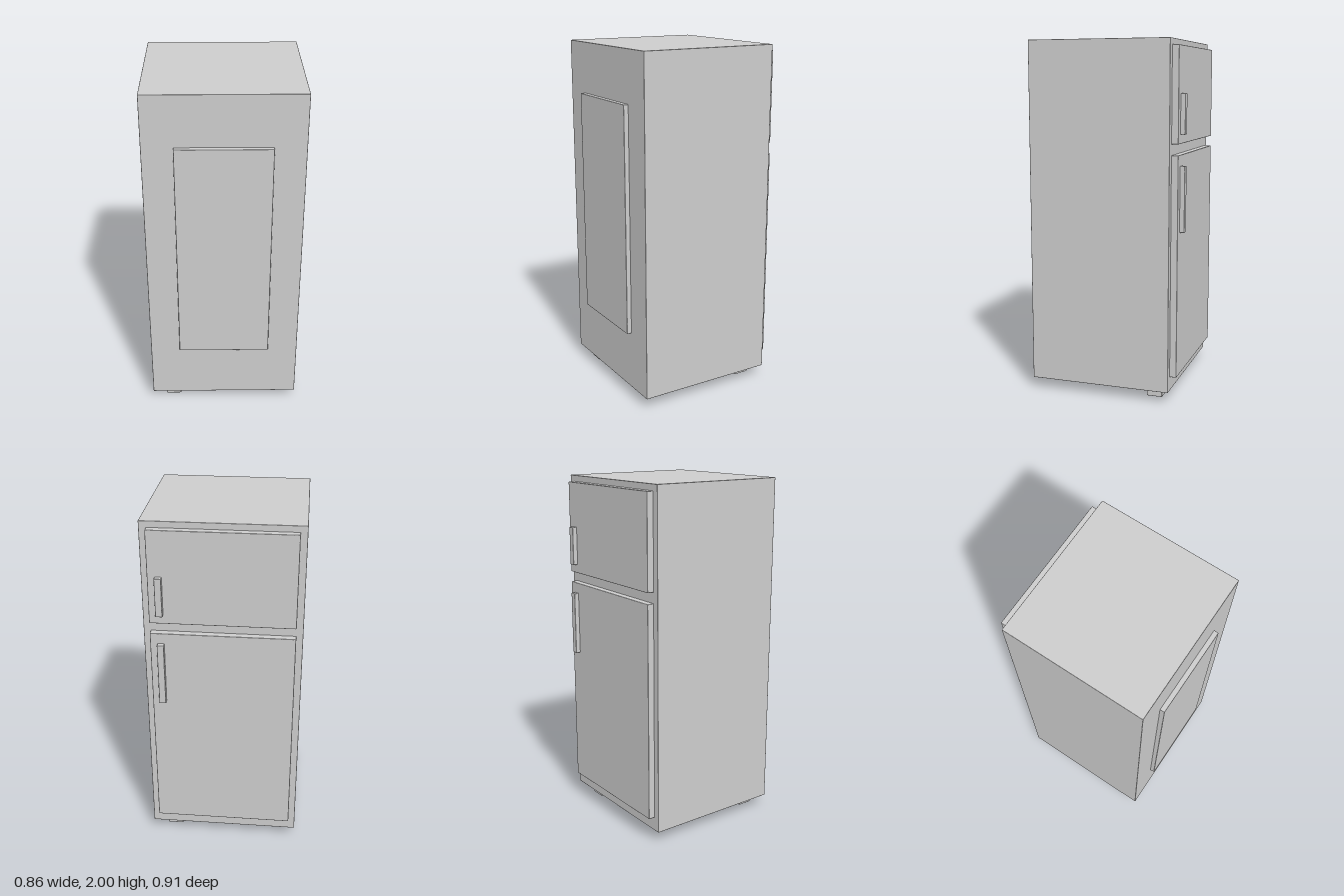
import * as THREE from 'three';
import { RoundedBoxGeometry } from 'three/addons/geometries/RoundedBoxGeometry.js';

const enamel = new THREE.MeshStandardMaterial({ color: 0xcccccc });
enamel.name = 'light grey enamel';

// Box with softened edges, given by its [min, max] extents on each axis
function block(name, [x0, x1], [y0, y1], [z0, z1], radius = 0.004) {
  const geometry = new RoundedBoxGeometry(x1 - x0, y1 - y0, z1 - z0, 1, radius);
  const mesh = new THREE.Mesh(geometry, enamel);
  mesh.name = name;
  mesh.position.set((x0 + x1) / 2, (y0 + y1) / 2, (z0 + z1) / 2);
  return mesh;
}

export function createModel() {
  const fridge = new THREE.Group();
  fridge.name = 'refrigerator';

  // Cabinet and the raised panel on its +z face
  fridge.add(block('cabinet', [-0.432, 0.432], [0.06, 2], [-0.39, 0.425], 0.003));
  fridge.add(block('accessPanel', [-0.262, 0.26], [0.4, 1.71], [0.415, 0.452]));

  // Freezer and main doors with upright handles on the -z face
  const doors = [
    { name: 'freezer', door: [1.44, 1.965], handle: [1.49, 1.71] },
    { name: 'main', door: [0.14, 1.38], handle: [0.955, 1.32] },
  ];
  for (const { name, door, handle } of doors) {
    fridge.add(block(name + 'Door', [-0.395, 0.393], door, [-0.428, -0.38]));
    fridge.add(block(name + 'Handle', [0.315, 0.353], handle, [-0.455, -0.425]));
  }

  // Two diagonal feet
  fridge.add(block('frontFoot', [-0.355, -0.265], [0, 0.065], [0.285, 0.375]));
  fridge.add(block('rearFoot', [0.262, 0.352], [0, 0.065], [-0.335, -0.245]));

  return fridge;
}
